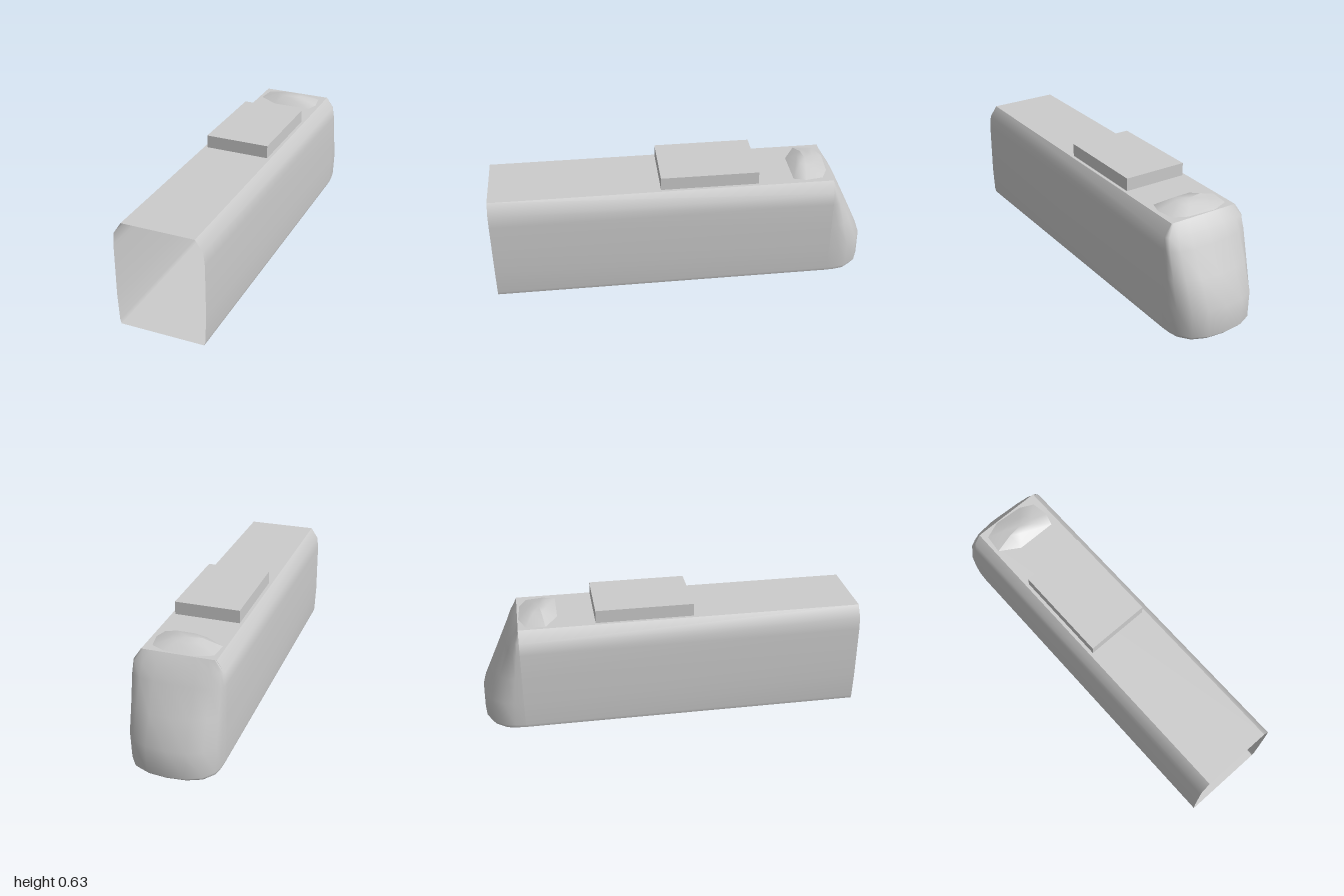
import * as THREE from 'three';

const grey = new THREE.MeshStandardMaterial({ color: 0xcccccc, side: THREE.DoubleSide });
grey.name = 'plain grey';

// Smooth surface through rows of [x, y, z] points
function loft(name, rows) {
  const n = rows[0].length;
  const index = [];
  for (let r = 0; r < rows.length - 1; r++) {
    for (let i = 0; i < n - 1; i++) {
      const a = r * n + i, b = a + 1, c = a + n, d = c + 1;
      index.push(a, b, c, b, d, c);
    }
  }
  const geo = new THREE.BufferGeometry();
  geo.setAttribute('position', new THREE.Float32BufferAttribute(rows.flat(2), 3));
  geo.setIndex(index);
  geo.computeVertexNormals();
  const mesh = new THREE.Mesh(geo, grey);
  mesh.name = name;
  return mesh;
}

export function createModel() {
  const group = new THREE.Group();
  group.name = 'railcar';
  const top = 0.563, front = 1, noseStart = -0.79;

  // Half section: height, half width, rearmost z of the nose at that height
  const levels = [
    [0, 0.22, -0.98], [0.02, 0.226, -1], [0.16, 0.233, -0.997], [0.3, 0.233, -0.932],
    [0.44, 0.233, -0.865], [0.505, 0.226, -0.833], [top, 0.187, noseStart],
  ];

  // Open-ended hull
  for (const s of [1, -1]) {
    group.add(loft(s > 0 ? 'leftWall' : 'rightWall',
      levels.map(([y, w]) => [[s * w, y, front], [s * w, y, noseStart]])));
  }
  const panel = (name, w, y) => loft(name,
    [front, noseStart].map((z) => [[-w, y, z], [w, y, z]]));
  group.add(panel('roof', 0.187, top), panel('floor', 0.22, 0));

  // Sloping nose, rounded in plan
  const half = [[1, 0], [0.985, 0.25], [0.94, 0.5], [0.75, 0.79], [0.43, 0.95]];
  const plan = [...half, [0, 1], ...half.map(([x, d]) => [-x, d]).reverse()];
  const ring = ([y, w, back]) =>
    plan.map(([x, d]) => [x * w, y, noseStart + d * (back - noseStart)]);
  group.add(loft('nose', levels.map(ring)));
  const base = ring(levels[0]);
  group.add(loft('noseFloor', [base, base.map(([x]) => [x, 0, noseStart])]));

  // Roof equipment box
  const box = new THREE.Mesh(new THREE.BoxGeometry(0.34, 0.068, 0.51), grey);
  box.name = 'roofBox';
  box.position.set(0, 0.597, -0.14);
  group.add(box);

  // Low irregular hump behind the nose edge
  const rim = [
    [-0.17, -0.65], [-0.065, -0.585], [0.145, -0.585], [0.165, -0.65],
    [0.15, -0.74], [0.08, -0.775], [-0.07, -0.785], [-0.16, -0.75], [-0.17, -0.65],
  ];
  const cz = -0.675;
  const humpRing = (k, height) => rim.map(([x, z]) => {
    const zz = cz + (z - cz) * k;
    return [x * k, height ?? 0.602 + (zz + 0.64) * 0.13, zz];
  });
  group.add(loft('roofHump', [humpRing(1, top), humpRing(0.42), humpRing(0)]));

  return group;
}
